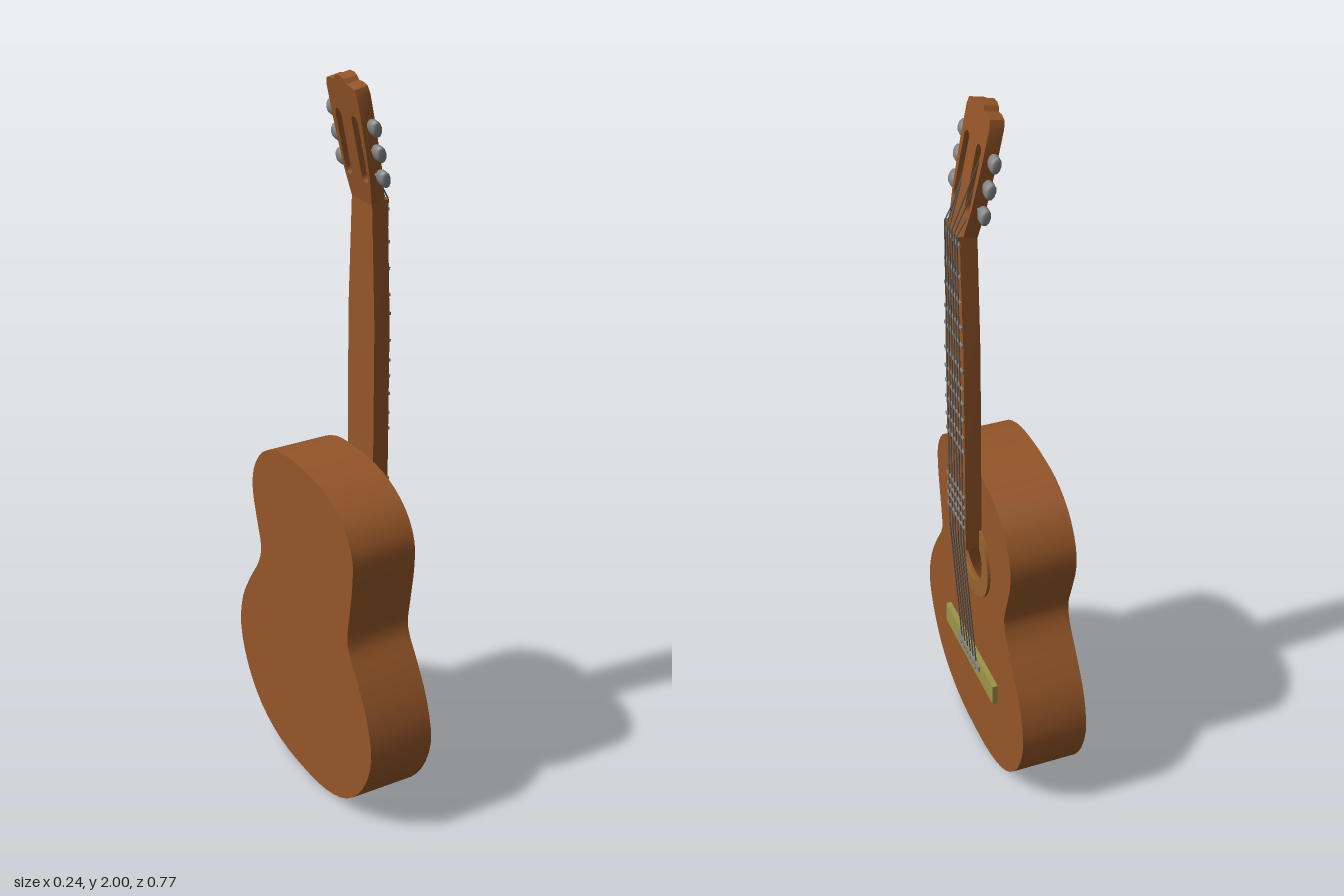
import * as THREE from 'three';
import { toCreasedNormals } from 'three/addons/utils/BufferGeometryUtils.js';

const material = (color) => new THREE.MeshStandardMaterial({ color, side: THREE.DoubleSide });
const wood = material(0x945528);
const ringWood = material(0x95622c);
const bridgeWood = material(0x9c9448);
const metal = material(0x858585);
const stringMetal = material(0x555555);

const vec = (pts) => pts.map(([x, y]) => new THREE.Vector2(x, y));

function add(parent, name, geometry, mat, x = 0, y = 0, z = 0) {
  const mesh = new THREE.Mesh(geometry, mat);
  mesh.name = name;
  mesh.position.set(x, y, z);
  parent.add(mesh);
  return mesh;
}

// Flat plate of a given thickness, starting at z
function plate(parent, name, shape, z, depth, mat, curveSegments = 20) {
  const geo = new THREE.ExtrudeGeometry(shape, { depth, bevelEnabled: false, curveSegments });
  return add(parent, name, toCreasedNormals(geo, 0.5), mat, 0, 0, z);
}

// Thin round bar between two points
function rod(parent, name, a, b, radius, mat, sides = 6) {
  const dir = b.clone().sub(a);
  const mesh = add(parent, name, new THREE.CylinderGeometry(radius, radius, dir.length(), sides), mat);
  mesh.position.copy(a).add(b).multiplyScalar(0.5);
  mesh.quaternion.setFromUnitVectors(new THREE.Vector3(0, 1, 0), dir.normalize());
  return mesh;
}

function circlePath(r, y) {
  const path = new THREE.Path();
  path.absarc(0, y, r, 0, Math.PI * 2, true);
  return path;
}

function createModel() {
  const model = new THREE.Group();
  model.name = 'guitar';
  // Built facing +z, then turned to face +x
  const guitar = new THREE.Group();
  guitar.name = 'instrument';
  guitar.rotation.y = Math.PI / 2;
  model.add(guitar);

  // Body outline, counter-clockwise from the bottom
  const outline = new THREE.CatmullRomCurve3([
    [0, 0], [0.14, 0.012], [0.255, 0.06], [0.34, 0.15], [0.382, 0.27], [0.362, 0.38],
    [0.31, 0.47], [0.252, 0.555], [0.237, 0.61], [0.257, 0.68], [0.281, 0.77], [0.272, 0.84], [0.22, 0.913],
    [0.135, 0.957], [0.05, 0.969], [-0.05, 0.969], [-0.145, 0.953], [-0.235, 0.903], [-0.278, 0.835],
    [-0.281, 0.76], [-0.265, 0.65], [-0.256, 0.56], [-0.305, 0.48], [-0.358, 0.385], [-0.384, 0.27],
    [-0.34, 0.15], [-0.255, 0.06], [-0.14, 0.012],
  ].map(([x, y]) => new THREE.Vector3(x, y, 0)), true).getPoints(84).slice(0, -1);
  const edge = outline.map((p) => new THREE.Vector2(p.x, p.y));
  const inner = edge.map((p) => new THREE.Vector2(p.x * 0.97, 0.485 + (p.y - 0.485) * 0.975));

  // Hollow body: back, ribs and soundboard with its hole
  const holeY = 0.675;
  plate(guitar, 'bodyBack', new THREE.Shape(edge), -0.12, 0.01, wood);
  const ribs = new THREE.Shape(edge);
  ribs.holes.push(new THREE.Path(inner));
  plate(guitar, 'bodySides', ribs, -0.11, 0.165, wood);
  const top = new THREE.Shape(edge);
  top.holes.push(circlePath(0.09, holeY));
  plate(guitar, 'soundboard', top, 0.055, 0.01, wood);

  // Rosette around the sound hole
  const rosette = new THREE.Shape();
  rosette.absarc(0, holeY, 0.135, 0, Math.PI * 2, false);
  rosette.holes.push(circlePath(0.09, holeY));
  plate(guitar, 'soundHoleRing', rosette, 0.065, 0.008, ringWood);

  // Bridge with saddle and string pins
  add(guitar, 'bridge', new THREE.BoxGeometry(0.38, 0.065, 0.015), bridgeWood, 0, 0.297, 0.0725);
  add(guitar, 'saddle', new THREE.BoxGeometry(0.165, 0.016, 0.008), metal, 0.007, 0.309, 0.081);

  // Neck
  const neckHalf = (y) => (y < 1.35 ? 0.067 : 0.067 - (y - 1.35) * 0.05);
  const cx = 0.002;
  const neck = new THREE.Shape(vec([
    [cx - 0.067, 0.735], [cx + 0.067, 0.735], [cx + 0.067, 1.35],
    [cx + 0.05, 1.68], [cx - 0.05, 1.68], [cx - 0.067, 1.35],
  ]));
  plate(guitar, 'neck', neck, 0.065, 0.045, wood);

  // Frets and nut
  [1.655, 1.57, 1.5, 1.43, 1.38, 1.305, 1.25, 1.205, 1.155, 1.1, 1.055, 0.907, 0.872, 0.84, 0.807].forEach((y) => {
    add(guitar, 'fret', new THREE.BoxGeometry(neckHalf(y) * 2, 0.008, 0.005), metal, cx, y, 0.1115);
  });
  add(guitar, 'nut', new THREE.BoxGeometry(0.1, 0.01, 0.008), wood, cx, 1.675, 0.11);

  // Headstock, leaning back from the top of the neck
  const head = new THREE.Group();
  head.name = 'headstock';
  head.position.set(0.003, 1.675, 0.064);
  head.rotation.x = -0.2;
  guitar.add(head);
  head.updateMatrix();
  const half = [
    [0.05, -0.005], [0.066, 0.075], [0.074, 0.2], [0.075, 0.285], [0.068, 0.304],
    [0.05, 0.309], [0.03, 0.309], [0.022, 0.32], [0.01, 0.325],
  ];
  const headShape = new THREE.Shape(vec([...half, ...half.map(([x, y]) => [-x, y]).reverse()]));
  for (const s of [-1, 1]) {
    const slot = new THREE.Path();
    slot.moveTo(s * 0.04 - 0.015, 0.07);
    slot.lineTo(s * 0.04 - 0.015, 0.215);
    slot.absarc(s * 0.04, 0.215, 0.015, Math.PI, 0, true);
    slot.lineTo(s * 0.04 + 0.015, 0.07);
    slot.absarc(s * 0.04, 0.07, 0.015, 0, Math.PI, true);
    headShape.holes.push(slot);
  }
  plate(head, 'headPlate', headShape, 0, 0.037, wood, 6);

  // Tuning pegs: a shaft through each slot and a flattened knob outside
  const knob = new THREE.LatheGeometry(vec([
    [0, -0.02], [0.012, -0.02], [0.02, -0.01], [0.023, 0.005], [0.021, 0.017], [0.014, 0.021], [0, 0.021],
  ]), 10);
  knob.scale(1, 1, 0.6);
  const pegHeights = [0.078, 0.144, 0.21];
  for (const s of [-1, 1]) {
    for (const v of pegHeights) {
      rod(head, 'pegShaft', new THREE.Vector3(s * 0.022, v, 0.019), new THREE.Vector3(s * 0.085, v, 0.019), 0.005, metal, 8);
      const k = add(head, 'tuningKnob', knob, metal, s * 0.097, v, 0.019);
      k.rotation.z = -s * Math.PI / 2;
      k.rotation.order = 'ZYX';
      k.rotation.y = Math.PI;
    }
  }

  // Six strings: bridge, neck end, nut, then down to the peg shafts
  for (let i = 0; i < 6; i++) {
    const t = i / 5 - 0.5;
    const s = Math.sign(t);
    const level = i < 3 ? i : 5 - i;
    const post = new THREE.Vector3(s * (0.048 - level * 0.006), pegHeights[level], 0.025).applyMatrix4(head.matrix);
    const path = [
      new THREE.Vector3(0.003 + t * 0.115, 0.29, 0.079),
      new THREE.Vector3(0.003 + t * 0.108, 0.74, 0.112),
      new THREE.Vector3(0.003 + t * 0.085, 1.68, 0.115),
      post,
    ];
    for (let j = 0; j < 3; j++) rod(guitar, 'string', path[j], path[j + 1], 0.002, stringMetal);
    rod(guitar, 'bridgePin', new THREE.Vector3(path[0].x, 0.297, 0.078), new THREE.Vector3(path[0].x, 0.297, 0.086), 0.007, metal, 8);
  }

  return model;
}

export { createModel };
